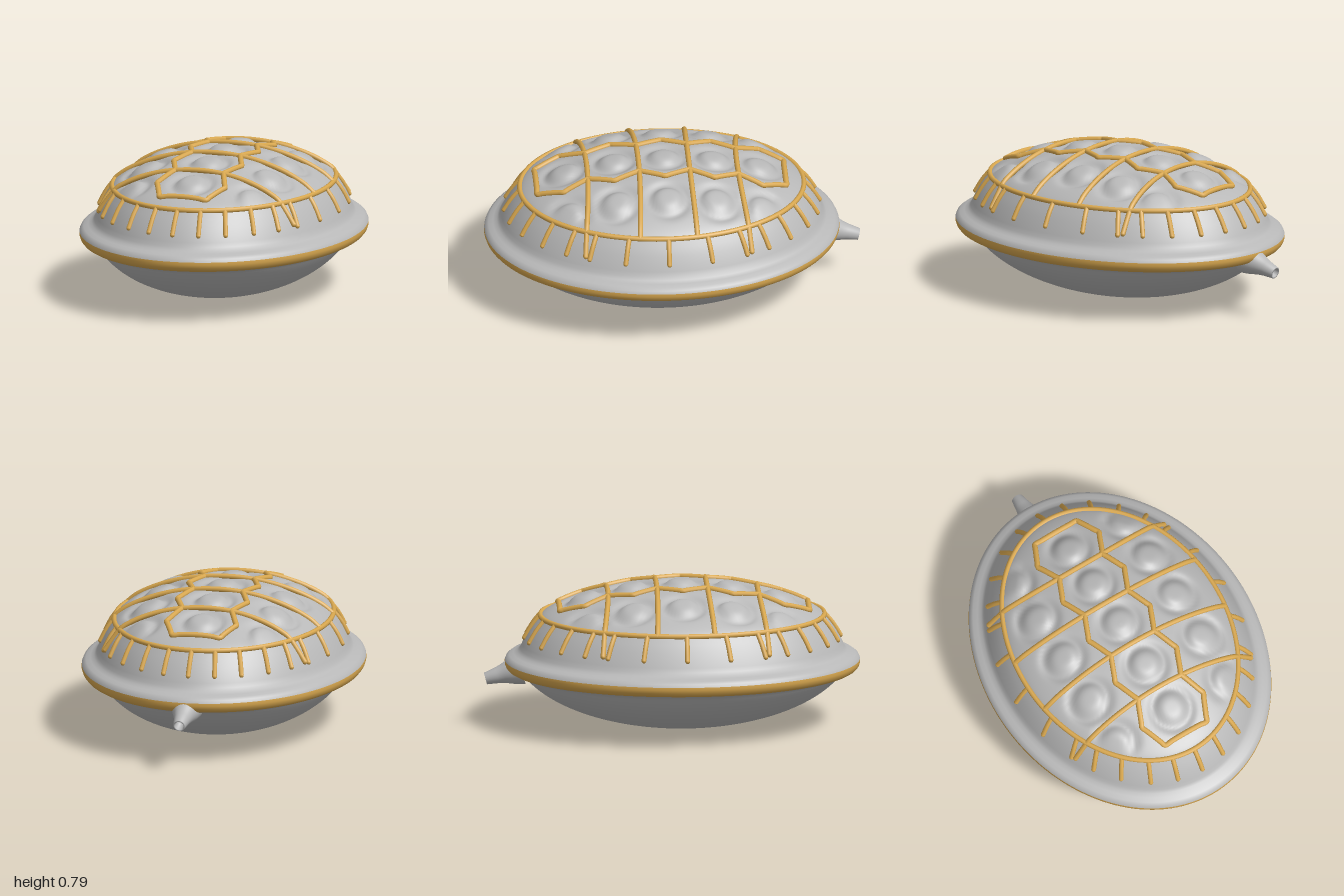
import * as THREE from 'three';

const CZ = 0.055;            // centre of the oval shell along z
const RX = 0.572, RZ = 0.755; // half axes of the oval at the dome's edge

const grey = new THREE.MeshStandardMaterial({ color: 0xb8b8b8 });
grey.name = 'shellGrey';
const gold = new THREE.MeshStandardMaterial({ color: 0xd9a84f });
gold.name = 'trimGold';

// Smooth height of the upper shell, continuing down the skirt past the edge
function shellY(x, z) {
  const r = Math.hypot(x / RX, (z - CZ) / RZ);
  return r < 1 ? 0.593 + 0.182 * Math.pow(1 - r * r, 0.8) : 0.593 - (r - 1) * 0.92;
}

// Oval loft through rings [rx, rz, y]; heightAt may add relief
function loft(rings, segments = 144, relief = () => 0) {
  const pos = [], idx = [];
  for (const [rx, rz, y] of rings) {
    for (let j = 0; j < segments; j++) {
      const t = (j / segments) * Math.PI * 2;
      const x = rx * Math.sin(t), z = CZ + rz * Math.cos(t);
      pos.push(x, y + relief(x, z), z);
    }
  }
  for (let i = 0; i < rings.length - 1; i++) {
    for (let j = 0; j < segments; j++) {
      const k = (j + 1) % segments;
      const a = i * segments + j, b = i * segments + k;
      idx.push(a, b, b + segments, a, b + segments, a + segments);
    }
  }
  const g = new THREE.BufferGeometry();
  g.setAttribute('position', new THREE.Float32BufferAttribute(pos, 3));
  g.setIndex(idx);
  g.computeVertexNormals();
  return g;
}

function add(parent, name, geometry, material) {
  const m = new THREE.Mesh(geometry, material);
  m.name = name;
  parent.add(m);
  return m;
}

// Round trim strip along points, with rounded ends when open
function strip(parent, name, points, closed = false, radius = 0.014) {
  const curve = new THREE.CatmullRomCurve3(points, closed);
  add(parent, name, new THREE.TubeGeometry(curve, points.length * 3, radius, 8, closed), gold);
  if (!closed) {
    for (const p of [points[0], points[points.length - 1]]) {
      add(parent, name + 'End', new THREE.SphereGeometry(radius, 8, 6), gold).position.copy(p);
    }
  }
}

const onShell = (x, z, lift = 0.004) => new THREE.Vector3(x, shellY(x, z) + lift, z);

export function createModel() {
  const model = new THREE.Group();
  model.name = 'shell';

  // Bowl-shaped belly
  const belly = [];
  for (let i = 0; i <= 24; i++) {
    const a = (i / 24) * 1.18;
    const s = Math.sin(a) / Math.sin(1.18);
    belly.push([0.635 * s, 0.835 * s, 0.265 * (1 - Math.cos(a)) / (1 - Math.cos(1.18))]);
  }
  add(model, 'belly', loft(belly), grey);

  // Rim underside, gold rim face, then rim top and skirt
  add(model, 'rimUnderside', loft([
    [0.635, 0.835, 0.265], [0.648, 0.85, 0.283], [0.67, 0.872, 0.29],
    [0.695, 0.895, 0.293], [0.712, 0.911, 0.299],
  ]), grey);
  add(model, 'rimBand', loft([
    [0.712, 0.911, 0.299], [0.728, 0.927, 0.308], [0.739, 0.939, 0.322],
    [0.745, 0.945, 0.34], [0.744, 0.944, 0.356],
  ]), gold);
  add(model, 'skirt', loft([
    [0.744, 0.944, 0.356], [0.737, 0.937, 0.372], [0.722, 0.921, 0.384],
    [0.698, 0.897, 0.393], [0.678, 0.876, 0.403], [0.664, 0.862, 0.42],
    [0.655, 0.852, 0.443], [0.642, 0.838, 0.472], [0.622, 0.814, 0.515],
    [0.598, 0.785, 0.556], [RX, RZ, 0.593],
  ]), grey);

  // Domed back with a knob and a soft moat in each scute
  const rowZ = [-0.47, -0.22, 0.045, 0.315, 0.58];
  const knobs = rowZ.flatMap((z) => [[0, z], [0.35, z], [-0.35, z]]);
  const relief = (x, z) => {
    let h = shellY(x, z);
    const r = Math.hypot(x / RX, (z - CZ) / RZ);
    const fade = Math.min(1, Math.max(0, (1 - r) * 9));
    for (const [kx, kz] of knobs) {
      const d = Math.hypot(x - kx, z - kz);
      h += fade * (0.014 * Math.exp(-Math.pow(d / 0.072, 4))
        - 0.018 * Math.exp(-Math.pow((d - 0.1) / 0.028, 2)));
    }
    return h;
  };
  const dome = [];
  for (let i = 0; i <= 60; i++) {
    const r = Math.pow(1 - i / 60, 0.85);
    dome.push([RX * r, RZ * r, 0]);
  }
  add(model, 'dome', loft(dome, 180, relief), grey);

  // Oval trim around the dome
  const oval = [];
  for (let i = 0; i < 64; i++) {
    const t = (i / 64) * Math.PI * 2;
    oval.push(new THREE.Vector3(RX * Math.sin(t), 0.597, CZ + RZ * Math.cos(t)));
  }
  strip(model, 'ovalTrim', oval, true);

  // Chain of hexagons down the middle
  const edgeZ = [-0.6, -0.343, -0.085, 0.182, 0.455, 0.725];
  const side = [];
  edgeZ.forEach((z, i) => {
    side.push([i === 0 || i === 5 ? 0.13 : 0.135, z]);
    if (i < 5) side.push([0.19, (z + edgeZ[i + 1]) / 2]);
  });
  const outline = [...side, ...side.slice().reverse().map(([x, z]) => [-x, z])];
  const chain = [];
  outline.forEach(([x, z], i) => {
    const [nx, nz] = outline[(i + 1) % outline.length];
    for (let k = 0; k < 6; k++) chain.push(onShell(x + (nx - x) * k / 6, z + (nz - z) * k / 6));
  });
  strip(model, 'hexagonTrim', chain, true, 0.015);

  // Cross strips between the scutes: [middle z, end z, half width]
  for (const [z, zEnd, w] of [[-0.343, -0.39, 0.545], [-0.085, -0.1, 0.56],
    [0.182, 0.205, 0.56], [0.455, 0.495, 0.545]]) {
    const pts = [];
    for (let i = 0; i <= 24; i++) {
      const u = i / 12 - 1;
      pts.push(onShell(u * w, z + (zEnd - z) * u * u));
    }
    strip(model, 'crossTrim', pts);
  }

  // Short ribs down the skirt, mirrored on all four quarters
  for (const deg of [0, 12.5, 25, 38, 50, 60, 74, 90]) {
    const t = THREE.MathUtils.degToRad(deg);
    for (const sx of deg === 0 ? [1] : [1, -1]) {
      for (const sz of deg === 90 ? [1] : [1, -1]) {
        const at = (rx, rz, y) =>
          new THREE.Vector3(sx * rx * Math.sin(t), y, CZ + sz * rz * Math.cos(t));
        strip(model, 'skirtRib', [at(RX, RZ, 0.597), at(0.61, 0.798, 0.545), at(0.645, 0.84, 0.478)],
          false, 0.013);
      }
    }
  }

  // Hollow tapered spout at the back
  const spoutProfile = [[0.085, -0.03], [0.07, 0.025], [0.054, 0.065], [0.043, 0.105],
    [0.032, 0.168], [0.025, 0.168], [0.022, 0.11], [0, 0.11]]
    .map(([x, y]) => new THREE.Vector2(x, y));
  const spout = add(model, 'spout', new THREE.LatheGeometry(spoutProfile, 32), grey);
  spout.position.set(0, 0.302, -0.83);
  spout.rotation.x = -Math.PI / 2 - 0.27;

  return model;
}
